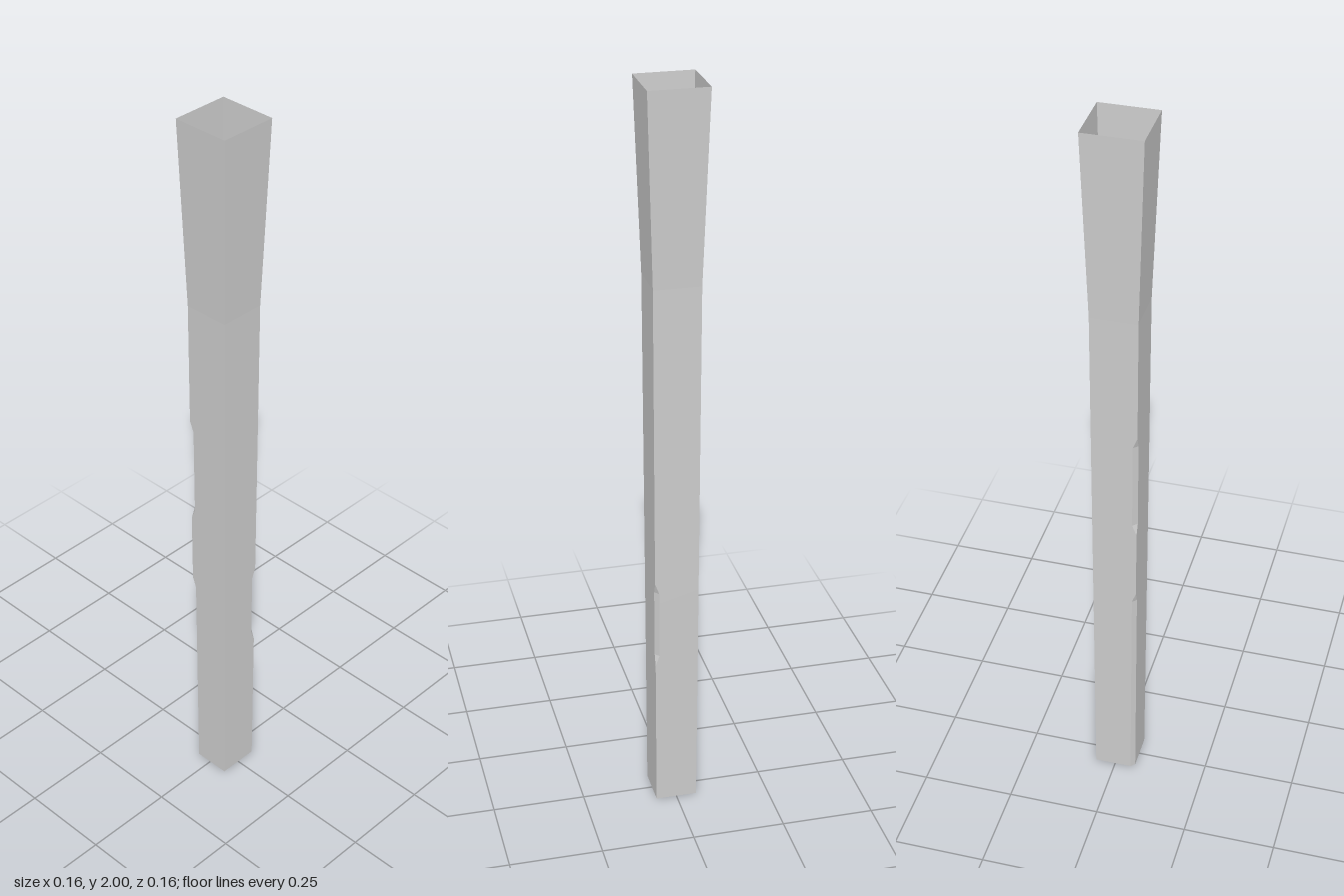
import * as THREE from 'three';

// Heights and depths of the worn chamfers on two opposite corners
const FRONT_CHIP = [[0, 0], [0.43, 0], [0.46, 0.011], [0.65, 0.011], [0.68, 0], [2, 0]];
const BACK_CHIP = [[0, 0.011], [0.62, 0.011], [0.65, 0], [0.85, 0], [0.88, 0.012], [1.13, 0.012], [1.16, 0], [2, 0]];
// Half width of the square shaft, flaring towards the top
const HALF_WIDTH = [[0, 0.056], [1.5, 0.062], [2, 0.0775]];

// Linear interpolation along a list of [height, value]
function sample(profile, y) {
  for (let i = 1; i < profile.length; i++) {
    const [y0, v0] = profile[i - 1], [y1, v1] = profile[i];
    if (y <= y1) return v0 + (v1 - v0) * (y - y0) / (y1 - y0);
  }
  return profile[profile.length - 1][1];
}

// Square cross-section with two corners cut
function section(y) {
  const h = sample(HALF_WIDTH, y), a = sample(FRONT_CHIP, y), b = sample(BACK_CHIP, y);
  return [[h - a, h], [h, h - a], [h, -h], [b - h, -h], [-h, b - h], [-h, h]]
    .map(([x, z]) => new THREE.Vector3(x, y, z));
}

export function createModel() {
  const group = new THREE.Group();
  group.name = 'hollowPost';

  const heights = [...new Set([...FRONT_CHIP, ...BACK_CHIP, ...HALF_WIDTH].map(p => p[0]))].sort((p, q) => p - q);
  const rings = heights.map(section);
  const points = [];
  const addTriangle = (a, b, c) => {
    if (new THREE.Triangle(a, b, c).getArea() > 1e-9) points.push(a, b, c);
  };

  // Thin walls between neighbouring sections, open at both ends
  for (let r = 0; r < rings.length - 1; r++) {
    const low = rings[r], high = rings[r + 1];
    for (let i = 0; i < 6; i++) {
      const j = (i + 1) % 6;
      addTriangle(low[i], low[j], high[j]);
      addTriangle(low[i], high[j], high[i]);
    }
  }
  const geometry = new THREE.BufferGeometry().setFromPoints(points);
  geometry.computeVertexNormals();

  const shaft = new THREE.Mesh(geometry, new THREE.MeshStandardMaterial({
    color: 0xcccccc, flatShading: true, side: THREE.DoubleSide,
  }));
  shaft.name = 'shaft';
  group.add(shaft);
  return group;
}
